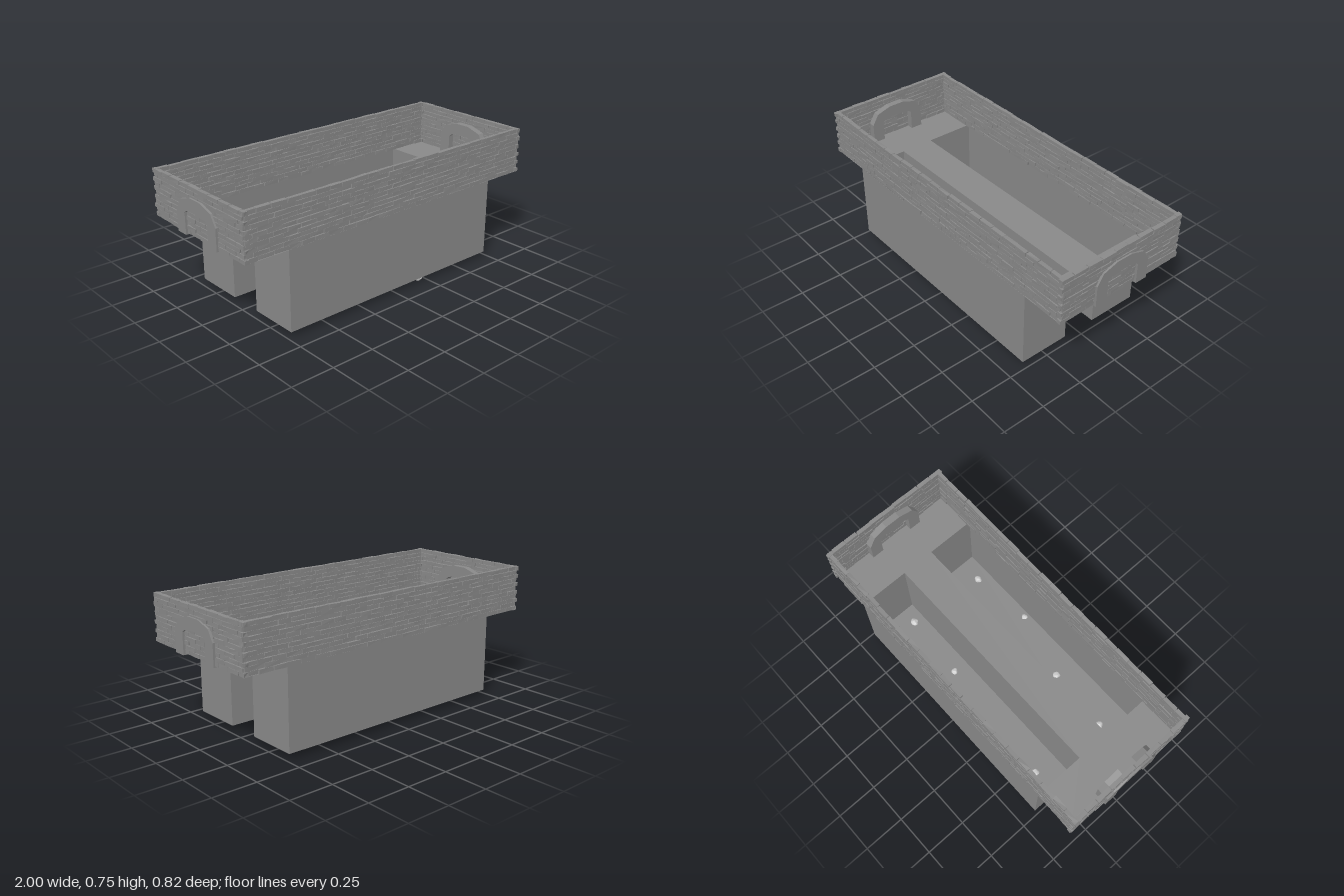
import * as THREE from 'three';
import { mergeGeometries } from 'three/addons/utils/BufferGeometryUtils.js';

const stone = new THREE.MeshStandardMaterial({ color: 0x888888, flatShading: true });
const thin = new THREE.MeshStandardMaterial({ color: 0x888888, flatShading: true, side: THREE.DoubleSide });
const pale = new THREE.MeshStandardMaterial({ color: 0xcccccc, flatShading: true });

let seed = 7;
const rand = () => (seed = (seed * 16807) % 2147483647) / 2147483647;
const jitter = (a) => (rand() * 2 - 1) * a;

function add(parent, name, geometry, material = stone) {
  const mesh = new THREE.Mesh(geometry, material);
  mesh.name = name;
  parent.add(mesh);
  return mesh;
}

// One uneven brick: a box whose eight corners are nudged
function brick(length, height, depth, x, y) {
  const g = new THREE.BoxGeometry(length, height, depth);
  const p = g.attributes.position;
  const nudges = Array.from({ length: 8 }, () => [jitter(0.0025), jitter(0.0018), jitter(0.0007)]);
  const shift = jitter(0.003);
  for (let i = 0; i < p.count; i++) {
    const n = nudges[(p.getX(i) > 0) + 2 * (p.getY(i) > 0) + 4 * (p.getZ(i) > 0)];
    p.setXYZ(i, p.getX(i) + n[0] + x, p.getY(i) + n[1] + y, p.getZ(i) + n[2] + shift);
  }
  return g;
}

// A wall of staggered courses along x, with alternate courses jutting at the ends
function brickWall(halfLength, depth) {
  const rows = 11, bottom = 0.484, rowHeight = 0.0242, pitch = 0.086;
  const bricks = [];
  for (let r = 0; r < rows; r++) {
    const half = halfLength + (r % 2 ? -0.005 : 0.005);
    let start = -half;
    let end = start + pitch * (r % 2 ? 0.5 : 1);
    while (start < half - 0.01) {
      let stop = Math.min(end + jitter(0.008), half);
      if (half - stop < 0.02) stop = half;
      bricks.push(brick(stop - start - 0.003, rowHeight - 0.002, depth,
        (start + stop) / 2, bottom + (r + 0.5) * rowHeight));
      start = stop;
      end += pitch;
    }
  }
  return mergeGeometries(bricks);
}

// Rectangle path in x and z
function rectangle(path, x0, x1, z0, z1) {
  path.moveTo(x0, z0);
  path.lineTo(x1, z0);
  path.lineTo(x1, z1);
  path.lineTo(x0, z1);
  path.closePath();
  return path;
}

// Faceted arch, drawn in z and y, extruded along x
function archGeometry() {
  const outer = [[0.175, 0.478], [0.175, 0.602], [0.136, 0.665], [0.048, 0.692]];
  const inner = [[0.102, 0.478], [0.102, 0.6], [0.084, 0.614], [0.045, 0.622]];
  const flip = (list) => list.map(([z, y]) => [-z, y]).reverse();
  const outline = [...outer, ...flip(outer), ...flip(inner).reverse(), ...inner.slice().reverse()];
  const shape = new THREE.Shape(outline.map(([z, y]) => new THREE.Vector2(z + 0.009, y)));
  const g = new THREE.ExtrudeGeometry(shape, { depth: 0.074, bevelEnabled: false });
  g.translate(0, 0, -0.037);
  return g.rotateY(-Math.PI / 2);
}

// Small irregular stone, drawn out to a blunt point on one side
function pebbleGeometry(radius) {
  const g = new THREE.IcosahedronGeometry(radius, 2);
  const p = g.attributes.position;
  const k = rand() * 6;
  for (let i = 0; i < p.count; i++) {
    const x = p.getX(i) / radius, y = p.getY(i) / radius, z = p.getZ(i) / radius;
    const s = 0.92 + 0.1 * Math.sin(3 * x + k) * Math.cos(4 * z - k) + 0.06 * Math.sin(5 * y + k);
    const point = 0.3 * Math.max(0, (x + z) / Math.SQRT2) ** 4;
    p.setXYZ(i, p.getX(i) * (s + point), p.getY(i) * s * 0.8, p.getZ(i) * (s + point));
  }
  g.computeVertexNormals();
  return g.rotateY(k);
}

export function createModel() {
  const model = new THREE.Group();
  model.name = 'brickBasin';

  // Brick walls
  const walls = new THREE.Group();
  walls.name = 'brickWalls';
  model.add(walls);
  add(walls, 'frontWall', brickWall(0.984, 0.022)).position.z = 0.389;
  add(walls, 'backWall', brickWall(0.984, 0.022)).position.z = -0.388;
  for (const side of [1, -1]) {
    const wall = add(walls, side > 0 ? 'leftWall' : 'rightWall', brickWall(0.403, 0.024));
    wall.rotation.y = side * Math.PI / 2;
    wall.position.x = side * 0.976;
  }

  // Floor with two openings, and the open-topped pits below them
  const floorY = 0.484, pitBottom = 0.03, pitX = 0.73;
  const floor = rectangle(new THREE.Shape(), -0.98, 0.98, -0.397, 0.402);
  for (const [name, z0, z1] of [['frontPit', 0.105, 0.401], ['backPit', -0.396, -0.096]]) {
    floor.holes.push(rectangle(new THREE.Path(), -pitX, pitX, z0, z1));
    const pit = new THREE.BoxGeometry(pitX * 2, floorY - pitBottom, z1 - z0);
    const index = Array.from(pit.index.array);
    index.splice(12, 6); // leave the top open
    pit.setIndex(index);
    pit.clearGroups();
    add(model, name, pit, thin).position.set(0, (floorY + pitBottom) / 2, (z0 + z1) / 2);
  }
  const floorMesh = add(model, 'floor', new THREE.ShapeGeometry(floor).rotateX(Math.PI / 2), thin);
  floorMesh.position.y = floorY;

  // Arches set through both end walls
  for (const side of [1, -1]) {
    add(model, side > 0 ? 'leftArch' : 'rightArch', archGeometry()).position.x = side * 0.963;
  }

  // Pebbles on the pit floors, the middle ones sunk through
  const pebbles = [
    [-0.57, 0.05, -0.25], [-0.19, 0.019, -0.295], [0.22, 0.025, -0.185], [0.62, 0.05, -0.165],
    [-0.61, 0.05, 0.23], [-0.21, 0.025, 0.257], [0.2, 0.019, 0.37], [0.58, 0.05, 0.32],
  ];
  for (const [x, y, z] of pebbles) {
    add(model, 'pebble', pebbleGeometry(0.023), pale).position.set(x, y, z);
  }
  return model;
}
